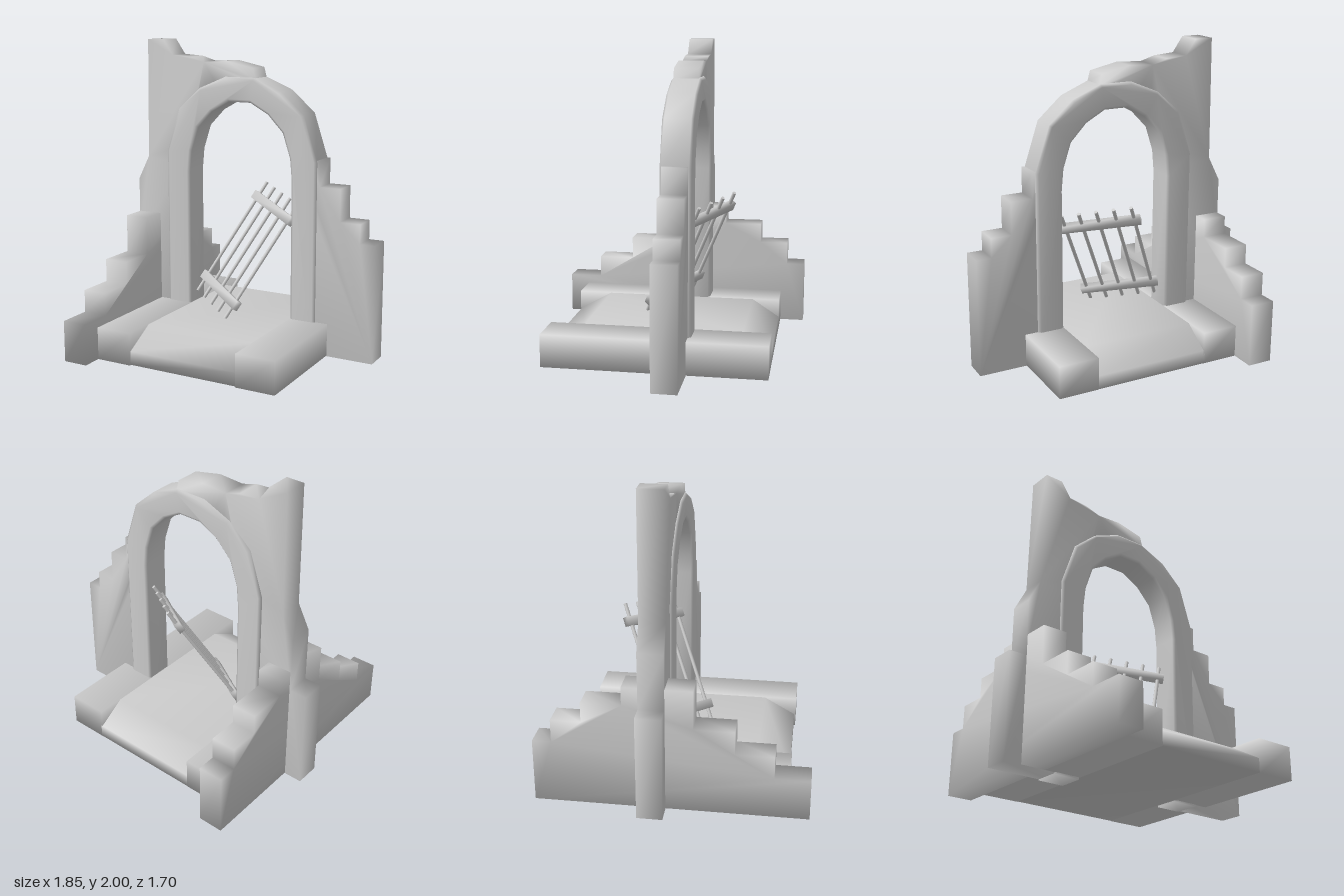
import * as THREE from 'three';
import { mergeVertices } from 'three/addons/utils/BufferGeometryUtils.js';

const stone = new THREE.MeshStandardMaterial({ color: 0xcccccc });

// weld the corners so the stone shades softly across its edges
function soften(geometry) {
  geometry.deleteAttribute('normal');
  geometry.deleteAttribute('uv');
  const welded = mergeVertices(geometry);
  welded.computeVertexNormals();
  return welded;
}

function addMesh(parent, name, geometry) {
  const mesh = new THREE.Mesh(geometry, stone);
  mesh.name = name;
  parent.add(mesh);
  return mesh;
}

function extrude(points, depth, bevel = {}) {
  const shape = new THREE.Shape(points.map(([x, y]) => new THREE.Vector2(x, y)));
  return new THREE.ExtrudeGeometry(shape, { depth, bevelEnabled: false, ...bevel });
}

// slab whose profile is given as (z, y), spanning x0..x1
function sideExtrude(points, x0, x1) {
  return extrude(points, x1 - x0).rotateY(-Math.PI / 2).translate(x1, 0, 0);
}

const ARCH_X = -0.025;

// symmetric arch line from the left foot over the crown to the right foot
function archLine(half) {
  const right = half.map(([x, y]) => [ARCH_X + x, y]);
  const left = half.map(([x, y]) => [ARCH_X - x, y]).reverse();
  return [...right, ...left];
}

function buildGate() {
  const gate = new THREE.Group();
  gate.name = 'fallenGate';
  const low = new THREE.Vector3(-0.385, 0.29, -0.09);
  const bar = new THREE.Vector3(0.368, 0.74, -0.322);
  const row = new THREE.Vector3(0.355, -0.075, 0.255);
  const u = row.clone().normalize();
  const v = bar.clone().addScaledVector(u, -bar.dot(u)).normalize();
  const n = new THREE.Vector3().crossVectors(u, v);
  const turn = new THREE.Quaternion().setFromRotationMatrix(new THREE.Matrix4().makeBasis(u, v, n));
  const up = new THREE.Vector3(0, 1, 0);

  for (let i = 0; i < 5; i++) {
    const mesh = addMesh(gate, 'gateBar', new THREE.CylinderGeometry(0.012, 0.012, bar.length(), 8));
    mesh.position.copy(low).addScaledVector(row, i / 4).addScaledVector(bar, 0.5);
    mesh.quaternion.setFromUnitVectors(up, bar.clone().normalize());
  }
  for (const t of [0.13, 0.865]) {
    const mesh = addMesh(gate, 'gateCrossPlank', soften(new THREE.BoxGeometry(row.length() + 0.08, 0.06, 0.04)));
    mesh.position.copy(low).addScaledVector(row, 0.5).addScaledVector(bar, t);
    mesh.quaternion.copy(turn);
  }
  return gate;
}

export function createModel() {
  const model = new THREE.Group();
  model.name = 'ruinedArchway';

  const inner = [[0.375, 0], [0.375, 1.13], [0.362, 1.27], [0.31, 1.43], [0.205, 1.54], [0.078, 1.61]];
  const outer = [[0.55, 0], [0.55, 1.26], [0.455, 1.55], [0.297, 1.69], [0.105, 1.77]];

  // broken wall around the opening; its inner edge hides inside the arch ring
  const wall = [
    [0.92, 0.005], [0.92, 0.77], [0.82, 0.77], [0.82, 0.895], [0.685, 0.895], [0.685, 1.105],
    [0.545, 1.105], [0.545, 1.27], [0.51, 1.27], [0.42, 1.53], [0.265, 1.67], [0.09, 1.755],
    [0.07, 1.83], [-0.12, 1.87], [-0.29, 1.86], [-0.39, 1.89], [-0.53, 1.9], [-0.6, 2],
    [-0.72, 2], [-0.73, 1.21], [-0.812, 1.05], [-0.812, 0.685], [-0.925, 0.685], [-0.925, 0.005],
  ];
  const hidden = archLine(inner.map(([x, y]) => [x + 0.04, y < 0.1 ? 0.005 : y + 0.03])).reverse();
  addMesh(model, 'brokenWall', soften(extrude([...wall, ...hidden], 0.16).translate(0, 0, -0.19)));

  // thicker ring with chamfered rims
  const ring = [...archLine(outer), ...archLine(inner).reverse()];
  const bevel = { bevelEnabled: true, bevelThickness: 0.015, bevelSize: 0.018, bevelOffset: -0.018, bevelSegments: 1 };
  addMesh(model, 'archRing', soften(extrude(ring, 0.165, bevel).translate(0, 0, -0.195)));

  // stepped wall running front to back
  const steps = [
    [-0.85, 0.01], [0.85, 0.01], [0.85, 0.275], [0.63, 0.275], [0.63, 0.42], [0.39, 0.42],
    [0.39, 0.57], [0.14, 0.57], [0.14, 0.82], [-0.29, 0.82], [-0.29, 0.7], [-0.54, 0.7],
    [-0.54, 0.57], [-0.73, 0.57], [-0.73, 0.42], [-0.85, 0.42],
  ];
  addMesh(model, 'steppedSideWall', soften(sideExtrude(steps, -0.805, -0.643)));

  // kerb blocks on both sides of the passage
  for (const [x0, x1] of [[-0.642, -0.4], [0.35, 0.61]]) {
    const kerb = new THREE.BoxGeometry(x1 - x0, 0.21, 1.41).translate((x0 + x1) / 2, 0.115, 0.015);
    addMesh(model, 'kerbBlock', soften(kerb));
  }

  // passage floor sloping down at both ends
  const floor = [[-0.69, 0.012], [0.71, 0.012], [0.71, 0.1], [0.5, 0.217], [-0.51, 0.217], [-0.69, 0.1]];
  addMesh(model, 'passageFloor', soften(sideExtrude(floor, -0.41, 0.36)));

  model.add(buildGate());
  return model;
}
